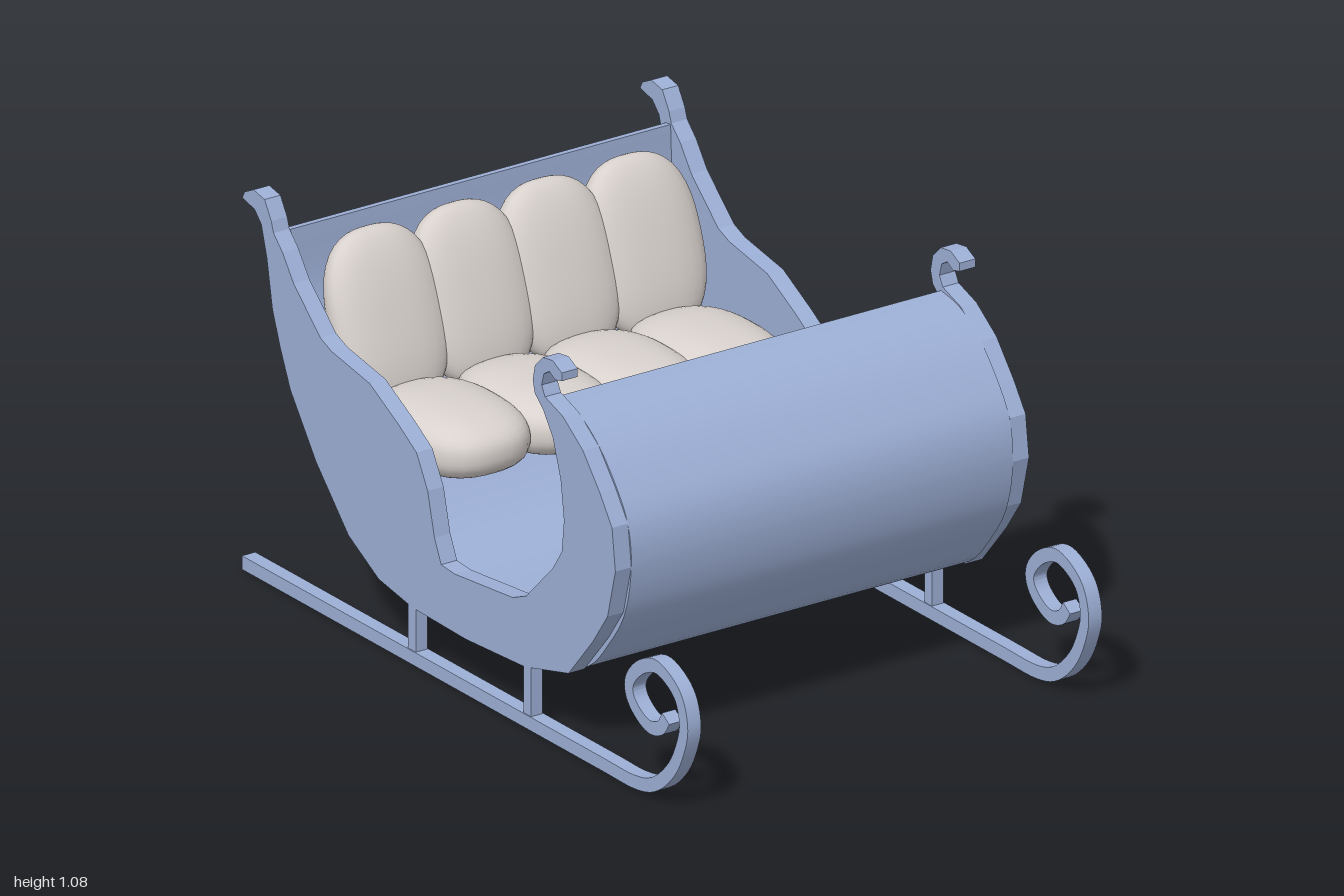
import * as THREE from 'three';
import { toCreasedNormals } from 'three/addons/utils/BufferGeometryUtils.js';

const blue = new THREE.MeshStandardMaterial({ color: 0x9dafd6 });
const cloth = new THREE.MeshStandardMaterial({ color: 0xd8d1cd });
const points = (list) => list.map(([x, y]) => new THREE.Vector2(x, y));

// Extrudes a flat outline along z, from z0 to z1
function extrude(outline, z0, z1) {
  const geometry = new THREE.ExtrudeGeometry(new THREE.Shape(outline), { depth: z1 - z0, bevelEnabled: false });
  return geometry.translate(0, 0, z0);
}

// Outline of a strip of constant width along a smooth path
function strip(path, width, steps) {
  const curve = new THREE.SplineCurve(points(path));
  const a = [], b = [];
  for (let i = 0; i <= steps; i++) {
    const p = curve.getPoint(i / steps), t = curve.getTangent(i / steps);
    const n = new THREE.Vector2(-t.y, t.x).multiplyScalar(width / 2);
    a.push(p.clone().add(n));
    b.unshift(p.clone().sub(n));
  }
  return a.concat(b);
}

// Puffy cushion: a sphere pushed out towards a rounded box
function cushionGeometry(rx, ry, rz) {
  const p = 2.6;
  const geometry = new THREE.SphereGeometry(1, 32, 24);
  const pos = geometry.attributes.position;
  const v = new THREE.Vector3();
  for (let i = 0; i < pos.count; i++) {
    v.fromBufferAttribute(pos, i);
    const sum = Math.abs(v.x) ** p + Math.abs(v.y) ** p + Math.abs(v.z) ** p;
    v.multiplyScalar(sum ** (-1 / p));
    pos.setXYZ(i, v.x * rx, v.y * ry, v.z * rz);
  }
  geometry.computeVertexNormals();
  return geometry;
}

const sideOutline = points([
  // back scroll and upper edge down to the step-in
  [-1, 1.04], [-0.99, 1.06], [-0.95, 1.08], [-0.9, 1.07], [-0.87, 1.02], [-0.86, 0.99], [-0.82, 0.95],
  [-0.77, 0.88], [-0.65, 0.77], [-0.6, 0.75], [-0.43, 0.72], [-0.3, 0.65], [-0.22, 0.6], [-0.17, 0.51],
  [-0.14, 0.39], [-0.11, 0.325], [-0.05, 0.32], [0.21, 0.345], [0.27, 0.37], [0.39, 0.49], [0.43, 0.55],
  [0.44, 0.64], [0.425, 0.75], [0.39, 0.855], [0.345, 0.92],
  // front scroll
  [0.31, 0.95], [0.3, 0.985], [0.31, 1.03], [0.345, 1.064], [0.39, 1.07], [0.43, 1.05], [0.43, 1.027],
  [0.4, 1.02], [0.375, 1.035], [0.35, 1.02], [0.34, 0.985], [0.355, 0.957],
  // front curve, belly and back
  [0.435, 0.93], [0.525, 0.866], [0.6, 0.775], [0.655, 0.695], [0.67, 0.578], [0.635, 0.44], [0.57, 0.348],
  [0.46, 0.22], [0.265, 0.17], [0, 0.155], [-0.24, 0.16], [-0.39, 0.187], [-0.525, 0.262], [-0.67, 0.417],
  [-0.785, 0.578], [-0.83, 0.68], [-0.865, 0.775], [-0.89, 0.91], [-0.915, 0.995], [-0.945, 1.027],
]);

const shellPath = [
  [-0.873, 0.985], [-0.855, 0.79], [-0.77, 0.58], [-0.66, 0.425], [-0.52, 0.28], [-0.39, 0.2], [-0.24, 0.166],
  [0, 0.16], [0.26, 0.175], [0.46, 0.235], [0.57, 0.345], [0.635, 0.45], [0.66, 0.58], [0.645, 0.69],
  [0.59, 0.78], [0.515, 0.862], [0.43, 0.917], [0.345, 0.935],
];

const runnerPath = [
  [-1, 0.02], [-0.4, 0.02], [0.2, 0.02], [0.6, 0.02], [0.76, 0.021], [0.85, 0.048], [0.925, 0.117], [0.966, 0.198],
  [0.976, 0.257], [0.955, 0.321], [0.906, 0.36], [0.848, 0.376], [0.79, 0.355], [0.746, 0.316], [0.73, 0.278],
  [0.746, 0.24], [0.79, 0.208], [0.832, 0.198], [0.874, 0.214], [0.896, 0.246],
];

export function createModel() {
  const model = new THREE.Group();
  const add = (name, geometry, material, x = 0, y = 0, z = 0) => {
    const mesh = new THREE.Mesh(geometry, material);
    mesh.name = name;
    mesh.position.set(x, y, z);
    model.add(mesh);
    return mesh;
  };

  // Curved body sheet spanning between the side panels
  add('bodyShell', toCreasedNormals(extrude(strip(shellPath, 0.02, 90), -0.6, 0.6), 0.6), blue);

  // Side panels, runners and struts on both sides
  const panel = extrude(sideOutline, -0.025, 0.025);
  const runner = toCreasedNormals(extrude(strip(runnerPath, 0.038, 95), -0.021, 0.021), 0.5);
  const strut = new THREE.BoxGeometry(0.034, 0.15, 0.036);
  for (const [side, s] of [['front', 1], ['rear', -1]]) {
    add(side + 'SidePanel', panel, blue, 0, 0, s * 0.625);
    add(side + 'Runner', runner, blue, 0, 0, s * 0.63);
    for (const x of [-0.243, 0.273]) add(side + 'Strut', strut, blue, x, 0.105, s * 0.63);
  }

  // Four padded columns of seat and backrest
  const seat = cushionGeometry(0.23, 0.09, 0.17);
  const back = cushionGeometry(0.065, 0.24, 0.17);
  for (let i = 0; i < 4; i++) {
    const z = -0.405 + i * 0.27;
    add('seatCushion', seat, cloth, -0.42, 0.54, z);
    add('backCushion', back, cloth, -0.705, 0.752, z).rotation.z = 0.35;
  }
  return model;
}
